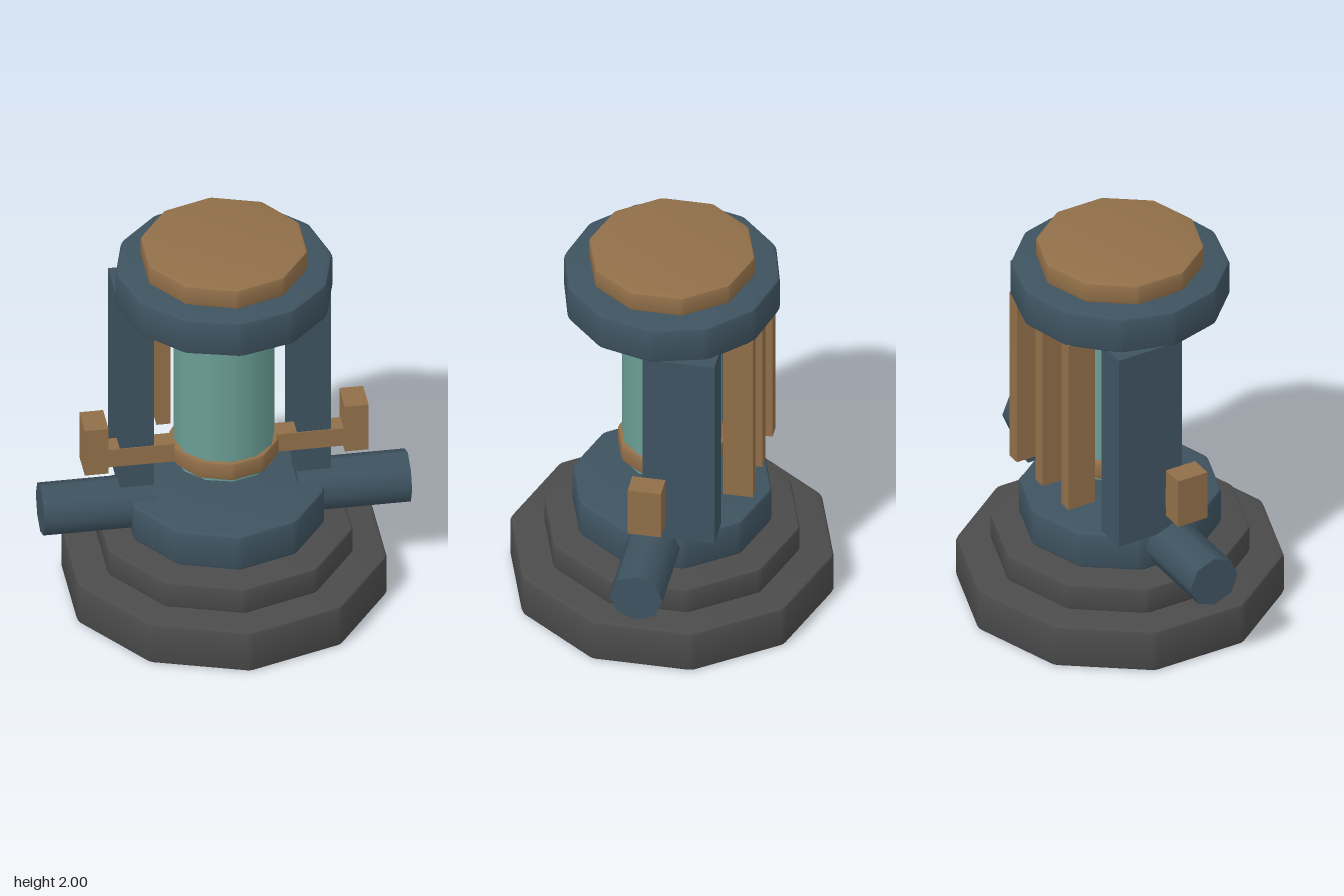
import * as THREE from 'three';
import { toCreasedNormals } from 'three/addons/utils/BufferGeometryUtils.js';

const material = (color) => new THREE.MeshStandardMaterial({ color });

// Regular polygon outline with a corner on +y and slightly rounded corners
function polygon(radius, sides, cut) {
  const corner = (i) => {
    const a = (i / sides) * Math.PI * 2;
    return new THREE.Vector2(-Math.sin(a), Math.cos(a)).multiplyScalar(radius);
  };
  const t = cut / (2 * radius * Math.sin(Math.PI / sides));
  const shape = new THREE.Shape();
  for (let i = 0; i < sides; i++) {
    const p = corner(i);
    const before = p.clone().lerp(corner(i - 1), t);
    const after = p.clone().lerp(corner(i + 1), t);
    if (i === 0) shape.moveTo(before.x, before.y);
    else shape.lineTo(before.x, before.y);
    shape.quadraticCurveTo(p.x, p.y, after.x, after.y);
  }
  shape.closePath();
  return shape;
}

// Many-sided disc from y0 to y1 with softened edges
function drum(radius, sides, y0, y1, bevel = 0.02) {
  const geometry = new THREE.ExtrudeGeometry(polygon(radius, sides, bevel), {
    depth: y1 - y0 - 2 * bevel,
    bevelThickness: bevel,
    bevelSize: bevel,
    bevelOffset: -bevel,
    bevelSegments: 2,
    curveSegments: 2,
  });
  geometry.rotateX(-Math.PI / 2).translate(0, y0 + bevel, 0);
  return toCreasedNormals(geometry, 0.6);
}

// Box given by its limits on each axis
function block(x0, x1, y0, y1, z0, z1) {
  return new THREE.BoxGeometry(x1 - x0, y1 - y0, z1 - z0)
    .translate((x0 + x1) / 2, (y0 + y1) / 2, (z0 + z1) / 2);
}

export function createModel() {
  const group = new THREE.Group();
  const stone = material(0x4b4b4b);
  const steel = material(0x3e5360);
  const brass = material(0x916f49);
  const glass = material(0x6a9e95);

  const add = (name, geometry, mat) => {
    const mesh = new THREE.Mesh(geometry, mat);
    mesh.name = name;
    group.add(mesh);
  };

  // Stepped base and lower ring
  add('basePlinth', drum(0.81, 10, 0, 0.23), stone);
  add('baseStep', drum(0.64, 10, 0.23, 0.375, 0.015), stone);
  add('lowerRing', drum(0.5, 10, 0.39, 0.59), steel);

  // Glass cylinder with its collar
  add('glassTube', new THREE.CylinderGeometry(0.25, 0.25, 0.95, 12).translate(0, 1.23, 0), glass);
  add('collar', drum(0.272, 10, 0.77, 0.87, 0.015), brass);

  // Head ring and cap
  add('headRing', drum(0.54, 12, 1.69, 1.89), steel);
  add('cap', drum(0.415, 10, 1.89, 2.0, 0.012), brass);

  // Mirrored pipes, columns, arms and handles
  for (const [side, s] of [['left', 1], ['right', -1]]) {
    const span = (a, b) => (s > 0 ? [a, b] : [-b, -a]);
    const pipe = new THREE.CylinderGeometry(0.133, 0.133, 0.56, 8)
      .rotateZ(Math.PI / 2).translate(s * 0.633, 0.523, 0);
    add(side + 'Pipe', pipe, steel);
    add(side + 'Column', block(...span(0.355, 0.525), 0.615, 1.7, -0.315, 0.045), steel);
    add(side + 'Arm', block(...span(0.2, 0.6), 0.768, 0.87, -0.05, 0.05), brass);
    add(side + 'Handle', block(...span(0.587, 0.705), 0.755, 1.02, -0.083, 0.083), brass);
  }

  // Upright fins at the back
  for (const x of [-0.25, 0, 0.25]) {
    add('rearFin', block(x - 0.035, x + 0.035, 0.743, 1.7, -0.46, -0.31), brass);
  }

  return group;
}
